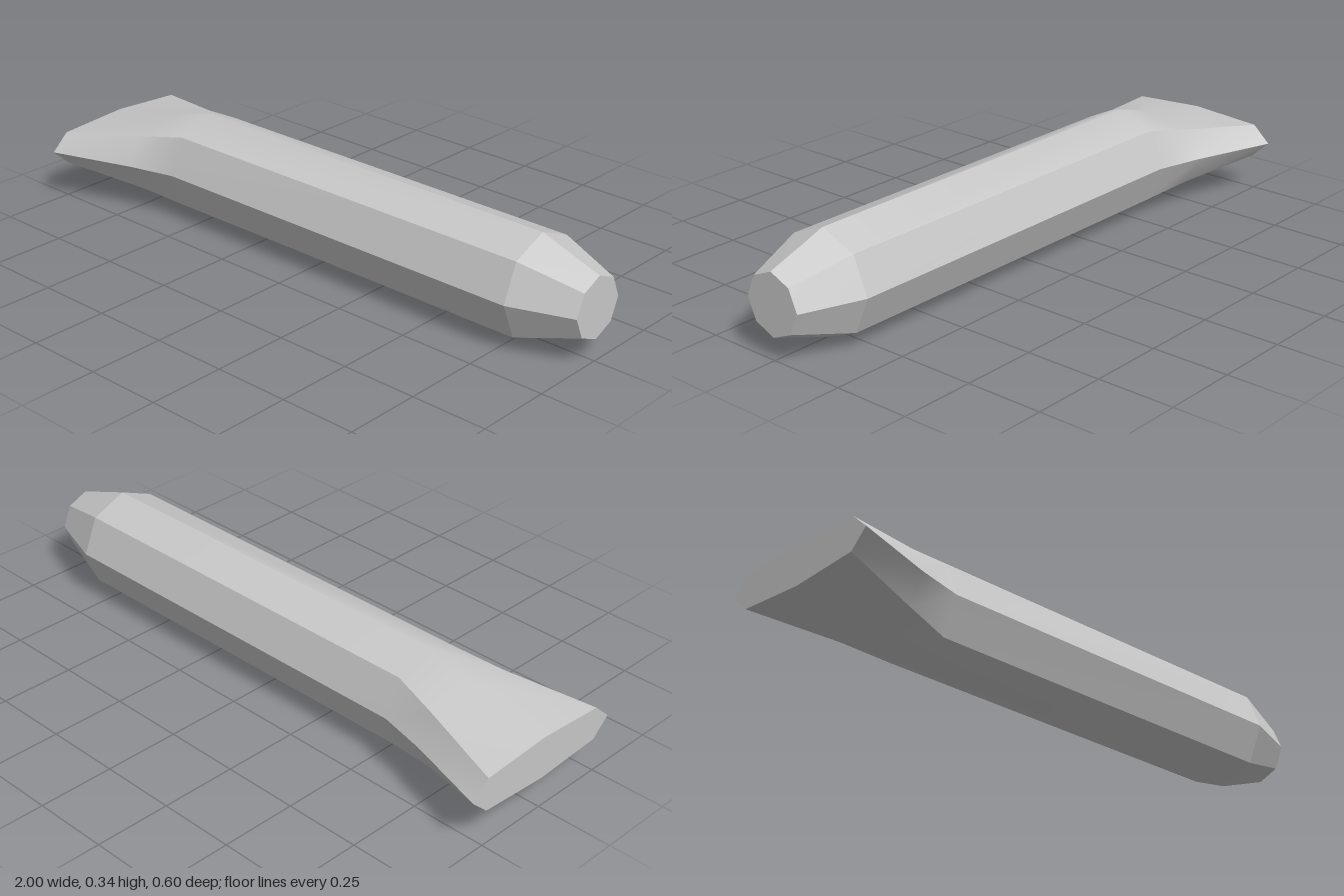
import * as THREE from 'three';

// Sections along x: [x, z half-width, y half-height, corner z, corner y]
const SECTIONS = [
  [-1, 0.30, 0.07, 0.24, 0.055],
  [-0.72, 0.21, 0.123, 0.158, 0.093],
  [-0.56, 0.17, 0.17, 0.12, 0.12],
  [0.8, 0.17, 0.17, 0.12, 0.12],
  [1, 0.10, 0.10, 0.07, 0.07],
];
const CENTRE_Y = 0.17;

// Corner k of an eight-sided section, running from +z up over the top
function corner(i, k) {
  const [x, w, h, cz, cy] = SECTIONS[i];
  const a = (k % 8) * Math.PI / 4;
  const sz = Math.round(Math.cos(a)), sy = Math.round(Math.sin(a));
  const diagonal = k % 2 === 1;
  return [x, CENTRE_Y + sy * (diagonal ? cy : h), sz * (diagonal ? cz : w)];
}

// Corners are shared only where they have the same smoothing label
function surface(build) {
  const positions = [], indices = [], known = new Map();
  const vertex = (i, k, label) => {
    const key = `${i}/${k % 8}/${label}`;
    if (!known.has(key)) {
      known.set(key, positions.length / 3);
      positions.push(...corner(i, k));
    }
    return known.get(key);
  };
  build(vertex, (a, b, c) => indices.push(a, b, c));
  const geometry = new THREE.BufferGeometry();
  geometry.setAttribute('position', new THREE.Float32BufferAttribute(positions, 3));
  geometry.setIndex(indices);
  geometry.computeVertexNormals();
  return geometry;
}

// Eight strips between two sections; the ridges soften toward the flare
function strips(from, to) {
  return surface((vertex, tri) => {
    for (let k = 0; k < 8; k++) {
      const v = (i, c) => vertex(i, c, i < 3 && c % 4 === 2 ? 'ridge' : k);
      for (let i = from; i < to; i++) {
        const a = v(i, k), b = v(i + 1, k), c = v(i + 1, k + 1), d = v(i, k + 1);
        tri(a, b, c);
        tri(a, c, d);
      }
    }
  });
}

// Flat end face
function cap(i, facesRight) {
  return surface((vertex, tri) => {
    for (let k = 1; k < 7; k++) {
      const a = vertex(i, 0, 'cap'), b = vertex(i, k, 'cap'), c = vertex(i, k + 1, 'cap');
      facesRight ? tri(a, c, b) : tri(a, b, c);
    }
  });
}

export function createModel() {
  const group = new THREE.Group();
  group.name = 'chisel';
  const steel = new THREE.MeshStandardMaterial({ color: 0xc8c8c8 });
  steel.name = 'grey steel';
  const add = (name, geometry) => {
    const mesh = new THREE.Mesh(geometry, steel);
    mesh.name = name;
    group.add(mesh);
  };
  add('shaftAndFlaredBlade', strips(0, 3));
  add('taperedHead', strips(3, 4));
  add('bladeEnd', cap(0, false));
  add('headEnd', cap(4, true));
  return group;
}
